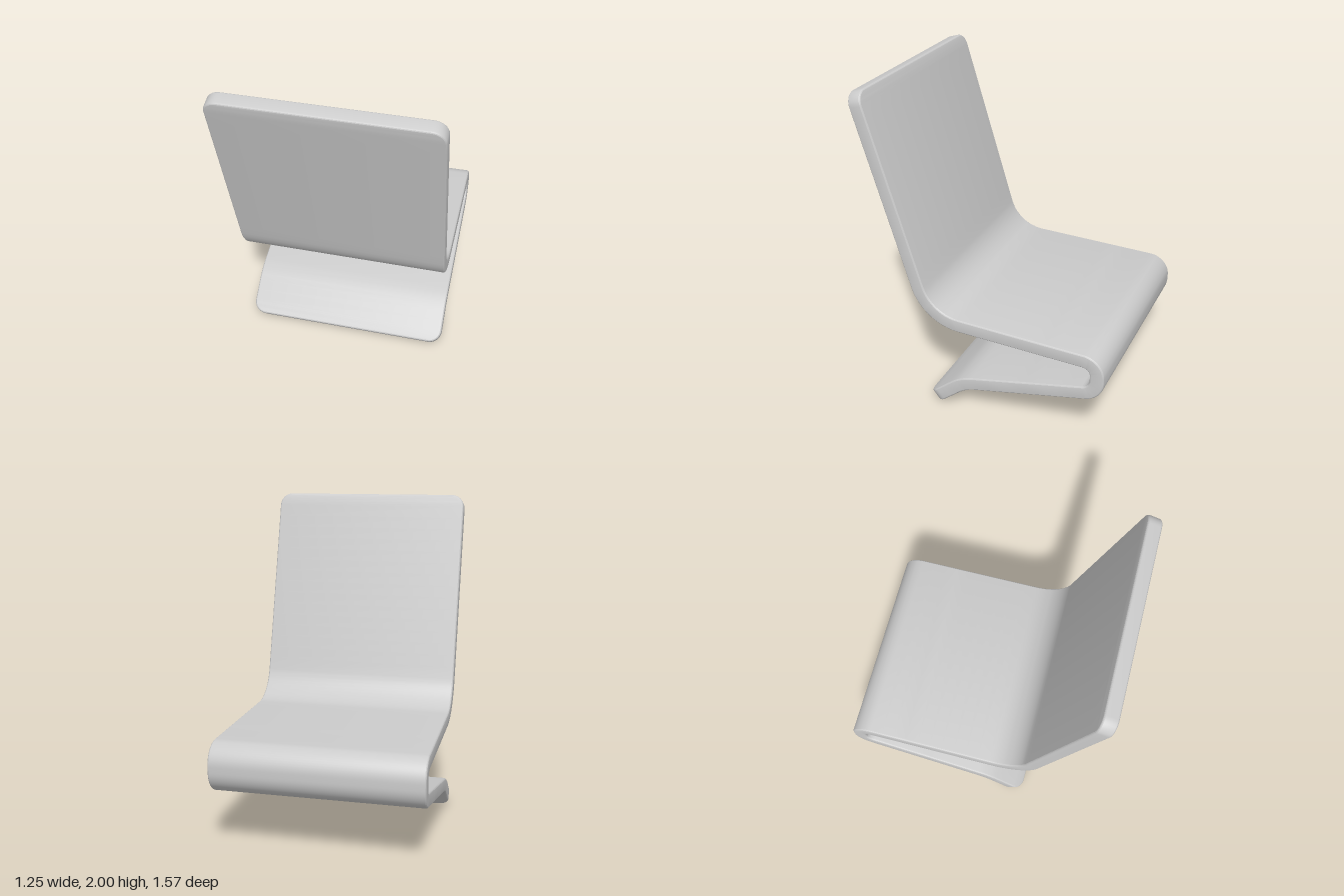
import * as THREE from 'three';
import { toCreasedNormals } from 'three/addons/utils/BufferGeometryUtils.js';

const HALF_WIDTH = 0.625, HALF_THICK = 0.0435, CORNER = 0.08, EDGE = 0.014;

// Centre line of the bent sheet: [z, y, bend radius]
const LINE = [
  [0.742, 1.99, 0], [0.342, 0.635, 0.28], [-0.742, 0.624, 0.088],
  [-0.742, 0.425, 0.1], [0.12, 0.213, 0.3], [0.336, 0.031, 0],
];

// Frames { p, a } (position and heading in the z-y plane) along the filleted line
function frames() {
  const pts = LINE.map(([z, y]) => new THREE.Vector2(z, y));
  const out = [];
  let from = pts[0];
  for (let i = 1; i < pts.length; i++) {
    const dir = pts[i].clone().sub(pts[i - 1]).normalize(), a = dir.angle();
    const last = i === pts.length - 1;
    let turn = 0, r = 0;
    if (!last) {
      r = LINE[i][2];
      const next = pts[i + 1].clone().sub(pts[i]).normalize();
      turn = Math.atan2(dir.cross(next), dir.dot(next));
    }
    const to = pts[i].clone().addScaledVector(dir, -r * Math.tan(Math.abs(turn) / 2));
    // straight run, leaving room for the rounded corners at both ends
    const start = from.clone().addScaledVector(dir, i === 1 ? CORNER : 0);
    const stop = to.clone().addScaledVector(dir, last ? -CORNER : 0);
    const n = Math.max(1, Math.ceil(start.distanceTo(stop) / 0.08));
    for (let k = 0; k <= n; k++) {
      if (k > 0 || i === 1) out.push({ p: start.clone().lerp(stop, k / n), a });
    }
    // bend
    if (!last) {
      const s = Math.sign(turn), steps = Math.ceil(Math.abs(turn) / 0.12);
      const c = to.clone().add(new THREE.Vector2(-Math.sin(a), Math.cos(a)).multiplyScalar(r * s));
      for (let k = 1; k <= steps; k++) {
        const b = a + (turn * k) / steps;
        out.push({ p: new THREE.Vector2(c.x + Math.sin(b) * r * s, c.y - Math.cos(b) * r * s), a: b });
      }
      from = out[out.length - 1].p;
    }
  }
  return out;
}

// Rounded edge from lower to upper face: inset d at height h
function edgeProfile() {
  const right = [], N = 4;
  for (const side of [-1, 1]) {
    for (let k = 0; k <= N; k++) {
      const t = ((side < 0 ? k : N - k) / N) * Math.PI / 2;
      right.push({ d: EDGE * (1 - Math.sin(t)), h: side * (HALF_THICK - EDGE + EDGE * Math.cos(t)) });
    }
  }
  return right;
}

function bentSheet() {
  const profile = edgeProfile(), m = profile.length, rows = [];

  // One closed ring; angle t runs round the end corner, sign gives which end
  const ring = ({ p, a }, t = Math.PI / 2, sign = 0) => {
    const cos = Math.cos(a), sin = Math.sin(a);
    const right = profile.map(({ d, h }) => {
      const s = sign * (CORNER - d) * Math.cos(t);
      const x = HALF_WIDTH - CORNER + (CORNER - d) * Math.sin(t);
      return [x, p.y + sin * s + cos * h, p.x + cos * s - sin * h];
    });
    rows.push([...right, ...right.map(([x, y, z]) => [-x, y, z]).reverse()]);
  };

  const path = frames(), STEPS = 9;
  for (let k = 0; k < STEPS; k++) ring(path[0], (k / STEPS) * Math.PI / 2, -1);
  path.forEach((f) => ring(f));
  for (let k = STEPS - 1; k >= 0; k--) ring(path[path.length - 1], (k / STEPS) * Math.PI / 2, 1);

  const pos = [];
  const quad = (a, b, c, d) => pos.push(...a, ...b, ...c, ...a, ...c, ...d);
  for (let i = 0; i < rows.length - 1; i++) {
    for (let j = 0; j < 2 * m; j++) {
      const k = (j + 1) % (2 * m);
      quad(rows[i][j], rows[i][k], rows[i + 1][k], rows[i + 1][j]);
    }
  }
  // end faces
  const first = rows[0], last = rows[rows.length - 1];
  for (let j = 0; j < m - 1; j++) {
    const l = 2 * m - 1 - j;
    quad(first[j], first[l], first[l - 1], first[j + 1]);
    quad(last[j], last[j + 1], last[l - 1], last[l]);
  }
  const geo = new THREE.BufferGeometry();
  geo.setAttribute('position', new THREE.Float32BufferAttribute(pos, 3));
  return toCreasedNormals(geo, 0.3);
}

export function createModel() {
  const group = new THREE.Group();
  group.name = 'bentSheetChair';
  const sheet = new THREE.Mesh(bentSheet(), new THREE.MeshStandardMaterial({ color: 0xcccccc }));
  sheet.name = 'bentSheet';
  group.add(sheet);
  return group;
}
